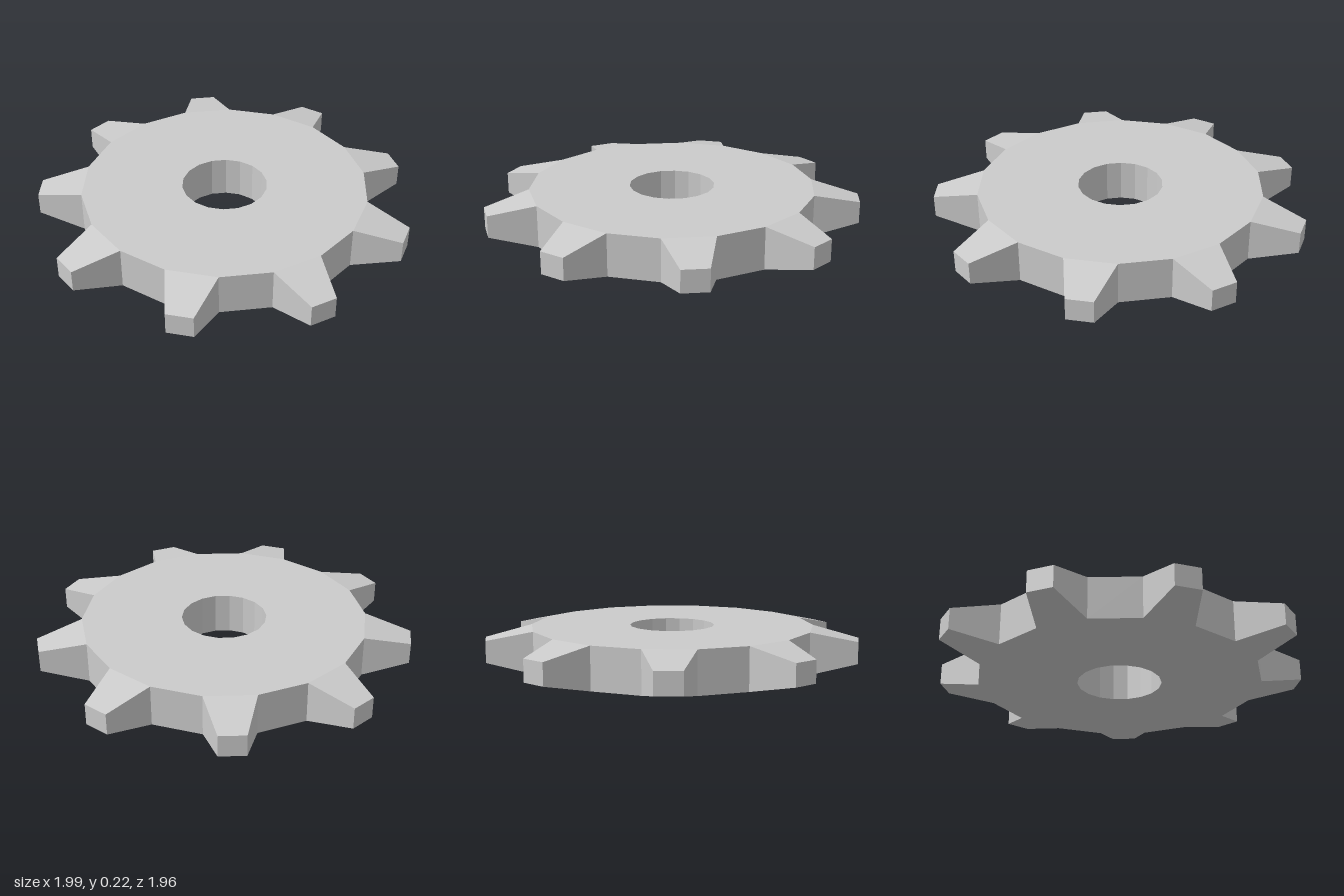
import * as THREE from 'three';

const TEETH = 9;
const SIDES = TEETH * 2;
const HEIGHT = 0.225;
const ROOT_R = 0.765;   // corner radius of the 18-sided disc
const BORE_R = 0.228;   // corner radius of the 18-sided bore
const TIP = { reach: 1.0, half: 0.069, low: 0.055, high: 0.172 };
const STEP = (Math.PI * 2) / SIDES;

const material = new THREE.MeshStandardMaterial({ color: 0xcccccc, flatShading: true });

// Angle 0 points to the back (-z) and increases towards +x
const polar = (r, a, y) => [r * Math.sin(a), y, -r * Math.cos(a)];

// Flat-shaded mesh from four-cornered faces, counter-clockwise from outside
function quadMesh(name, quads) {
  const positions = quads.flatMap(([a, b, c, d]) => [a, b, c, a, c, d].flat());
  const geometry = new THREE.BufferGeometry();
  geometry.setAttribute('position', new THREE.Float32BufferAttribute(positions, 3));
  geometry.computeVertexNormals();
  const mesh = new THREE.Mesh(geometry, material);
  mesh.name = name;
  return mesh;
}

// Disc with bore; the rim is left open where a tooth joins it
function createDisc() {
  const quads = [];
  for (let i = 0; i < SIDES; i++) {
    const a0 = (i - 0.5) * STEP;
    const a1 = (i + 0.5) * STEP;
    const [o0, o1, O0, O1] = [0, HEIGHT].flatMap(y => [polar(ROOT_R, a0, y), polar(ROOT_R, a1, y)]);
    const [b0, b1, B0, B1] = [0, HEIGHT].flatMap(y => [polar(BORE_R, a0, y), polar(BORE_R, a1, y)]);
    quads.push([O0, B0, B1, O1]);                  // top
    quads.push([o1, b1, b0, o0]);                  // bottom
    quads.push([b0, b1, B1, B0]);                  // bore wall
    if (i % 2 === 1) quads.push([o1, o0, O0, O1]); // rim between teeth
  }
  return quadMesh('gearDisc', quads);
}

// Tooth tapering in width and height from the rim to its tip
function createTooth(index) {
  const [l, r, L, R] = [0, HEIGHT].flatMap(y => [polar(ROOT_R, -STEP / 2, y), polar(ROOT_R, STEP / 2, y)]);
  const [tl, tr, TL, TR] = [TIP.low, TIP.high].flatMap(y => [[-TIP.half, y, -TIP.reach], [TIP.half, y, -TIP.reach]]);
  const tooth = quadMesh(`tooth${index + 1}`, [
    [TL, L, R, TR],  // top slope
    [tr, r, l, tl],  // bottom slope
    [tr, tl, TL, TR], // tip
    [tl, l, L, TL],  // flanks
    [r, tr, TR, R],
  ]);
  tooth.rotation.y = -index * 2 * STEP;
  return tooth;
}

export function createModel() {
  const gear = new THREE.Group();
  gear.name = 'gear';
  gear.add(createDisc());
  for (let i = 0; i < TEETH; i++) gear.add(createTooth(i));
  gear.position.z = 0.014; // centres the odd-toothed outline

  const model = new THREE.Group();
  model.name = 'gearModel';
  model.add(gear);
  return model;
}
